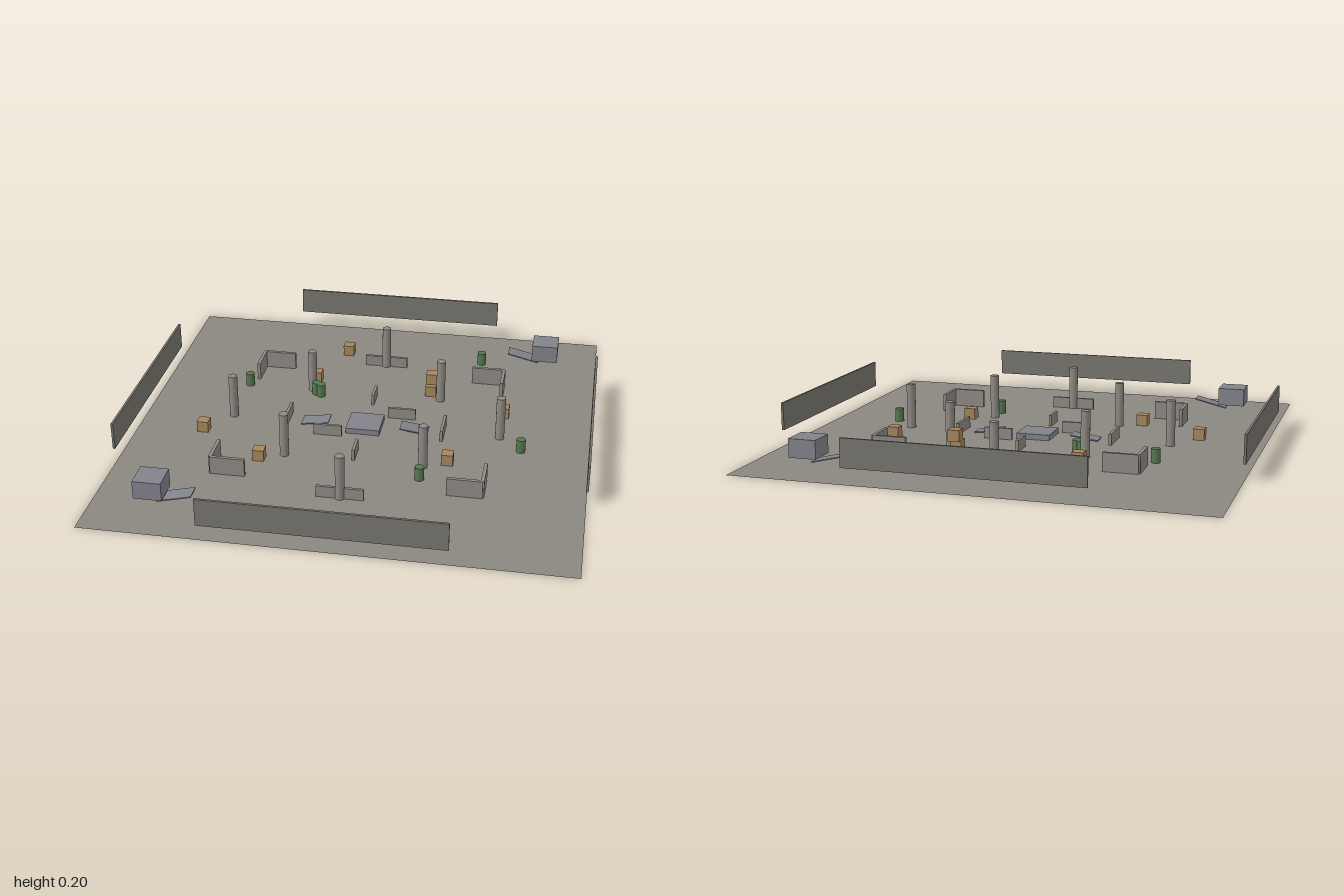
import * as THREE from 'three';

const paint = (color) => new THREE.MeshStandardMaterial({ color });

export function createModel() {
  const arena = new THREE.Group();
  arena.name = 'arena';
  const stone = paint(0x8e8a84), border = paint(0x77756e), steel = paint(0x82828c);
  const wood = paint(0xa5865c), green = paint(0x55774f), ground = paint(0x8b8680);
  ground.side = THREE.DoubleSide;

  const add = (name, geometry, material, x, y, z) => {
    const mesh = new THREE.Mesh(geometry, material);
    mesh.name = name;
    mesh.position.set(x, y, z);
    arena.add(mesh);
    return mesh;
  };
  // Box given by its base height
  const box = (name, material, w, h, d, x, z, base = 0) =>
    add(name, new THREE.BoxGeometry(w, h, d), material, x, base + h / 2, z);

  // Ground sheet
  const floor = add('floor', new THREE.PlaneGeometry(1.99, 1.99), ground, 0, 0, 0);
  floor.rotation.x = -Math.PI / 2;

  for (const s of [-1, 1]) {
    // Raised border walls
    box('borderWall', border, 0.99, 0.12, 0.01, 0, s * 0.995, 0.07);
    box('borderWall', border, 0.01, 0.12, 0.99, s * 0.995, 0, 0.07);

    // Low cover walls
    box('outerCover', stone, 0.2, 0.05, 0.0125, 0, s * 0.6);
    box('sideCover', stone, 0.0125, 0.05, 0.15, s * 0.35, 0);
    box('innerCover', stone, 0.0125, 0.05, 0.1, 0, s * 0.25 - s * 0.0);
    box('offsetCover', stone, 0.125, 0.05, 0.0125, s * 0.15, -s * 0.1);

    // L-shaped corner walls
    for (const t of [-1, 1]) {
      box('cornerWall', stone, 0.15, 0.08, 0.015, s * 0.5, t * 0.5);
      box('cornerWall', stone, 0.015, 0.08, 0.14, s * 0.573, t * 0.43);
    }

    // Ramps beside the central platform
    const ramp = add('centreRamp', new THREE.BoxGeometry(0.125, 0.005, 0.075), steel, s * 0.222, 0.013, 0);
    ramp.rotation.z = -s * 0.13;

    // Raised block with its sloped plate, in two opposite corners
    box('towerBlock', steel, 0.12, 0.08, 0.12, s * 0.75, -s * 0.75, 0.04);
    const plate = add('towerRamp', new THREE.BoxGeometry(0.15, 0.005, 0.075), steel, s * 0.648, 0.039, -s * 0.75);
    plate.rotation.z = -s * 0.235;
  }

  // Central platform
  box('centrePlatform', steel, 0.15, 0.025, 0.15, 0, 0);

  // Tall pillars
  const pillarGeo = new THREE.CylinderGeometry(0.02, 0.02, 0.2, 16);
  const pillars = [[0, 0.6], [0, -0.6], [0.6, 0], [-0.6, 0],
    [0.3, 0.3], [0.3, -0.3], [-0.3, 0.3], [-0.3, -0.3]];
  for (const [x, z] of pillars) add('pillar', pillarGeo, stone, x, 0.1, z);

  // Crates, one stacked on another
  const crates = [[-0.2, -0.7], [-0.3, -0.4], [0.25, -0.35], [0.25, -0.375, 0.05],
    [0.6, -0.2], [-0.7, 0.15], [-0.4, 0.35], [0.4, 0.25]];
  for (const [x, z, base] of crates) box('crate', wood, 0.05, 0.05, 0.05, x, z, base);

  // Barrels
  const barrelGeo = new THREE.CylinderGeometry(0.02, 0.02, 0.06, 16);
  const barrels = [[0.45, -0.7], [-0.6, -0.3], [-0.25, -0.25], [-0.275, -0.265], [0.3, 0.4], [0.7, 0.1]];
  for (const [x, z] of barrels) add('barrel', barrelGeo, green, x, 0.03, z);

  return arena;
}
